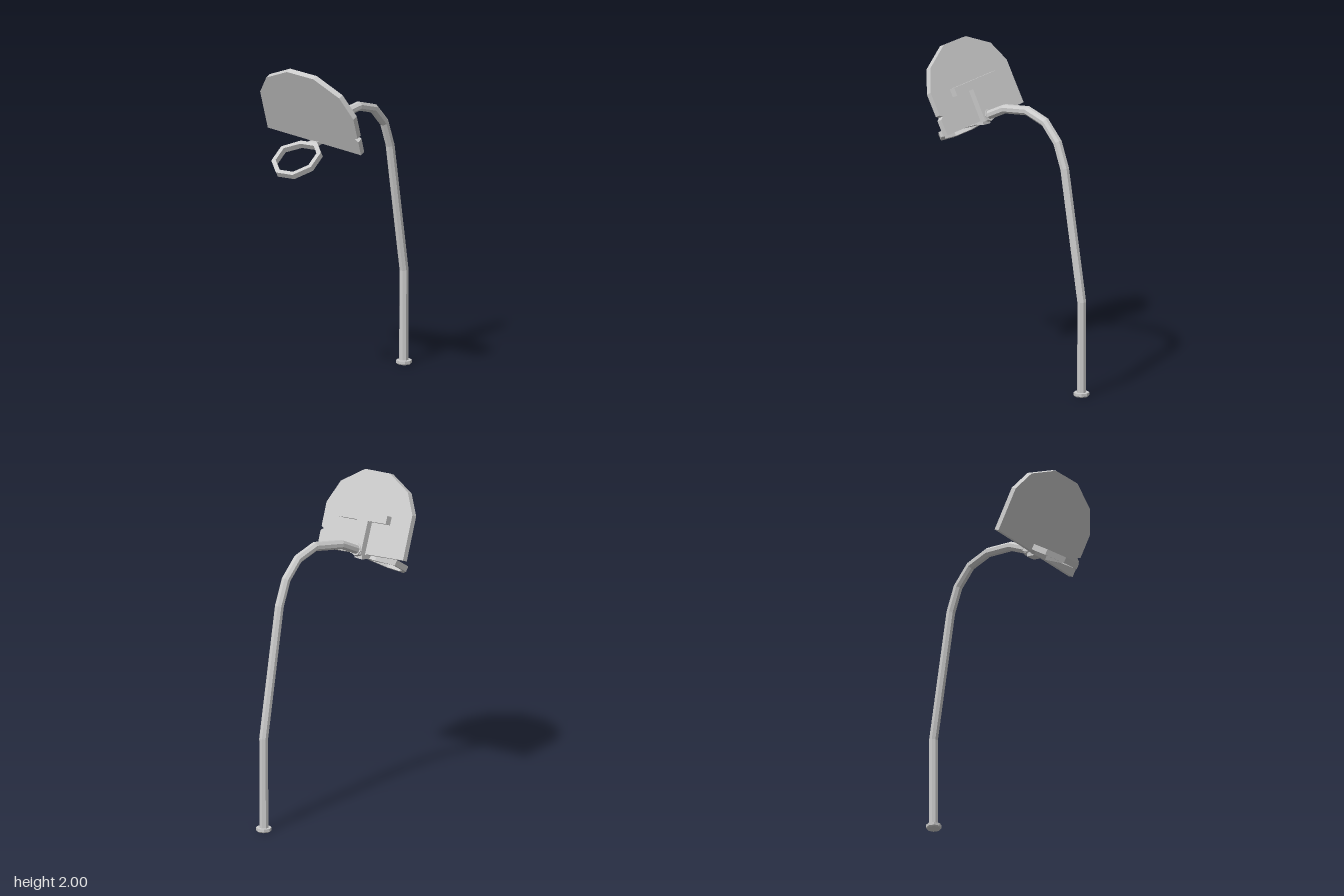
import * as THREE from 'three';

const mat = new THREE.MeshStandardMaterial({ color: 0xcccccc, flatShading: true });

function add(parent, name, geometry, x = 0, y = 0, z = 0) {
  const m = new THREE.Mesh(geometry, mat);
  m.name = name;
  m.position.set(x, y, z);
  parent.add(m);
  return m;
}

// Mitred tube along a polyline that runs upward and then forward
function sweep(points, radius, sides) {
  const pos = [], idx = [];
  const dirs = points.slice(1).map((p, i) => p.clone().sub(points[i]).normalize());
  points.forEach((p, i) => {
    const a = dirs[Math.max(i - 1, 0)], b = dirs[Math.min(i, dirs.length - 1)];
    const t = a.clone().add(b).normalize();
    const up = new THREE.Vector3(1, 0, 0).cross(t).normalize();
    const side = t.clone().cross(up).normalize();
    const stretch = 1 / t.dot(a);
    for (let j = 0; j < sides; j++) {
      const ang = ((j + 0.5) / sides) * Math.PI * 2;
      const v = p.clone()
        .addScaledVector(side, Math.cos(ang) * radius)
        .addScaledVector(up, Math.sin(ang) * radius * stretch);
      pos.push(v.x, v.y, v.z);
      if (i > 0) {
        const k = (j + 1) % sides, lo = (i - 1) * sides, hi = i * sides;
        idx.push(lo + j, hi + k, lo + k, lo + j, hi + j, hi + k);
      }
    }
  });
  const g = new THREE.BufferGeometry();
  g.setAttribute('position', new THREE.Float32BufferAttribute(pos, 3));
  g.setIndex(idx);
  g.computeVertexNormals();
  return g;
}

function octagon(r) {
  return Array.from({ length: 8 }, (_, i) => {
    const a = ((i + 0.5) / 8) * Math.PI * 2;
    return new THREE.Vector2(Math.cos(a) * r, Math.sin(a) * r);
  });
}

export function createModel() {
  const root = new THREE.Group();
  root.name = 'basketballHoop';

  // Bent pole
  const path = [
    [0, 0.01, -0.541], [0.001, 0.575, -0.543], [0.004, 1.365, -0.407], [0.005, 1.515, -0.35],
    [0.005, 1.62, -0.25], [0.005, 1.664, -0.107], [-0.014, 1.634, 0.095], [-0.015, 1.572, 0.225],
  ].map((p) => new THREE.Vector3(...p));
  add(root, 'pole', sweep(path, 0.028, 8));

  // Foot flange
  const flange = [[0, 0], [0.041, 0], [0.047, 0.007], [0.047, 0.024], [0, 0.025]];
  add(root, 'footFlange', new THREE.LatheGeometry(flange.map((p) => new THREE.Vector2(...p)), 8), 0.002, 0, -0.541);

  // Collar where the pole meets the bracket
  const end = path[path.length - 1], before = path[path.length - 2];
  const collar = add(root, 'poleCollar', new THREE.CylinderGeometry(0.037, 0.037, 0.028, 8), end.x, end.y - 0.004, end.z + 0.007);
  collar.quaternion.setFromUnitVectors(new THREE.Vector3(0, 1, 0), end.clone().sub(before).normalize());

  // Backboard assembly, tipped forward
  const tilt = 0.418;
  const board = new THREE.Group();
  board.name = 'backboardAssembly';
  board.position.set(0, 1.496, 0.273);
  board.rotation.x = tilt;
  root.add(board);

  // Panel outline with a small chip in one edge
  const outline = [
    [-0.355, 0.062], [0.325, 0], [0.337, 0.09], [0.317, 0.105], [0.339, 0.114], [0.355, 0.245],
    [0.295, 0.376], [0.135, 0.476], [-0.06, 0.49], [-0.24, 0.42], [-0.325, 0.31],
  ].map(([x, y]) => new THREE.Vector2(x, y / Math.cos(tilt)));
  add(board, 'backboard', new THREE.ExtrudeGeometry(new THREE.Shape(outline), { depth: 0.035, bevelEnabled: false }), 0, 0, -0.035);

  // T-shaped bracket on the rear
  const bracket = new THREE.Group();
  bracket.name = 'rearBracket';
  bracket.position.set(-0.012, 0.024, -0.053);
  bracket.rotation.z = -0.093;
  board.add(bracket);
  add(bracket, 'bracketStem', new THREE.BoxGeometry(0.085, 0.21, 0.042), 0, 0.105, 0);
  add(bracket, 'bracketBar', new THREE.BoxGeometry(0.37, 0.05, 0.044), 0, 0.228, 0);

  // Eight-sided rim, bent flatter at its rear edge
  const ring = new THREE.Shape(octagon(0.157));
  ring.holes.push(new THREE.Path(octagon(0.129)));
  const rimGeo = new THREE.ExtrudeGeometry(ring, { depth: 0.035, bevelEnabled: false });
  rimGeo.translate(0, 0, -0.0175);
  const p = rimGeo.attributes.position;
  for (let i = 0; i < p.count; i++) {
    if (p.getY(i) > 0.1) p.setZ(i, p.getZ(i) - 0.02);
  }
  rimGeo.rotateX(-Math.PI / 2);
  rimGeo.rotateY(0.05);
  rimGeo.computeVertexNormals();
  const rim = add(root, 'rim', rimGeo, -0.018, 1.455, 0.447);
  rim.rotation.x = 0.57;

  // Short arm joining the rim to the panel
  const arm = add(root, 'rimArm', new THREE.BoxGeometry(0.06, 0.025, 0.09), -0.012, 1.518, 0.288);
  arm.rotation.x = 0.15;

  return root;
}
